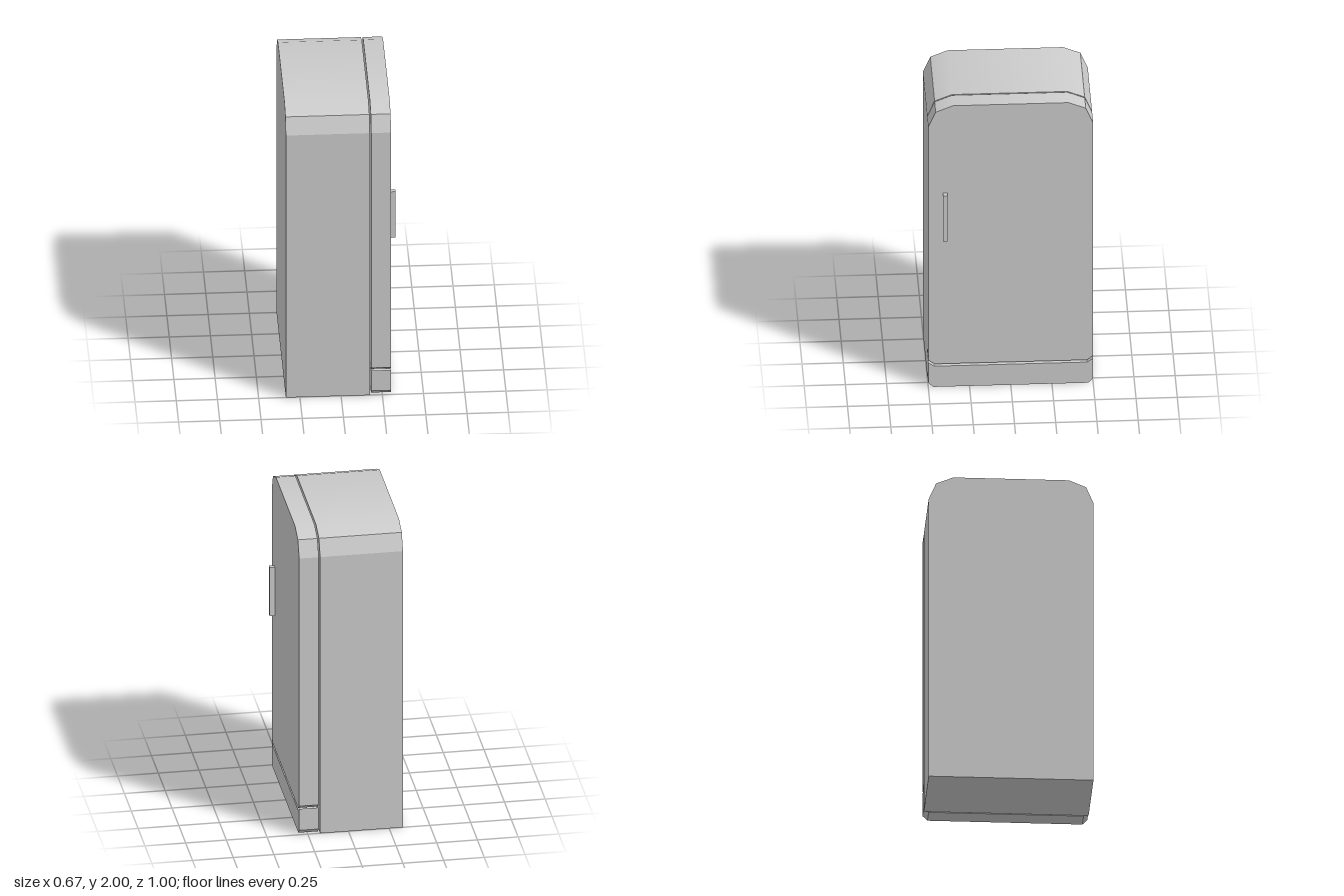
import * as THREE from 'three';

const material = new THREE.MeshStandardMaterial({ color: 0xcccccc });

// Right half of the arched top, as [z, y]
const ARCH = [[0.5, 1.852], [0.455, 1.957], [0.35, 2]];

// Slab with a z-mirrored profile (half listed from bottom to top), spanning x0..x1
function slab(name, half, x0, x1) {
  const mirrored = half.map(([z, y]) => [-z, y]).reverse();
  const shape = new THREE.Shape([...half, ...mirrored].map(([z, y]) => new THREE.Vector2(z, y)));
  const geometry = new THREE.ExtrudeGeometry(shape, { depth: x1 - x0, bevelEnabled: false });
  geometry.rotateY(Math.PI / 2).translate(x0, 0, 0);
  softenRoof(geometry);
  const mesh = new THREE.Mesh(geometry, material);
  mesh.name = name;
  return mesh;
}

// Blend the flat roof into its two upper slopes; all other edges stay crisp
function softenRoof(geometry) {
  const p = geometry.attributes.position;
  const n = geometry.attributes.normal;
  const tilt = Math.atan2(2 - 1.957, 0.455 - 0.35) / 2;
  for (let i = 0; i < p.count; i++) {
    if (p.getY(i) > 1.99 && n.getY(i) > 0.8) {
      n.setXYZ(i, 0, Math.cos(tilt), Math.sign(p.getZ(i)) * Math.sin(tilt));
    }
  }
}

export function createModel() {
  const group = new THREE.Group();
  group.name = 'refrigerator';

  // Cabinet, with a narrow gap before the door
  group.add(slab('cabinet', [[0.5, 0], ...ARCH], -0.335, 0.174));

  // Door with chamfered bottom corners
  group.add(slab('door', [[0.463, 0.163], [0.5, 0.192], ...ARCH], 0.183, 0.303));

  // Kick panel, its upper edge following the door
  group.add(slab('kickPanel', [[0.47, 0], [0.5, 0.03], [0.5, 0.173], [0.463, 0.147]], 0.183, 0.303));

  // Door handle
  const handle = new THREE.Mesh(new THREE.BoxGeometry(0.032, 0.325, 0.027), material);
  handle.position.set(0.319, 1.217, 0.398);
  handle.name = 'handle';
  group.add(handle);

  return group;
}
